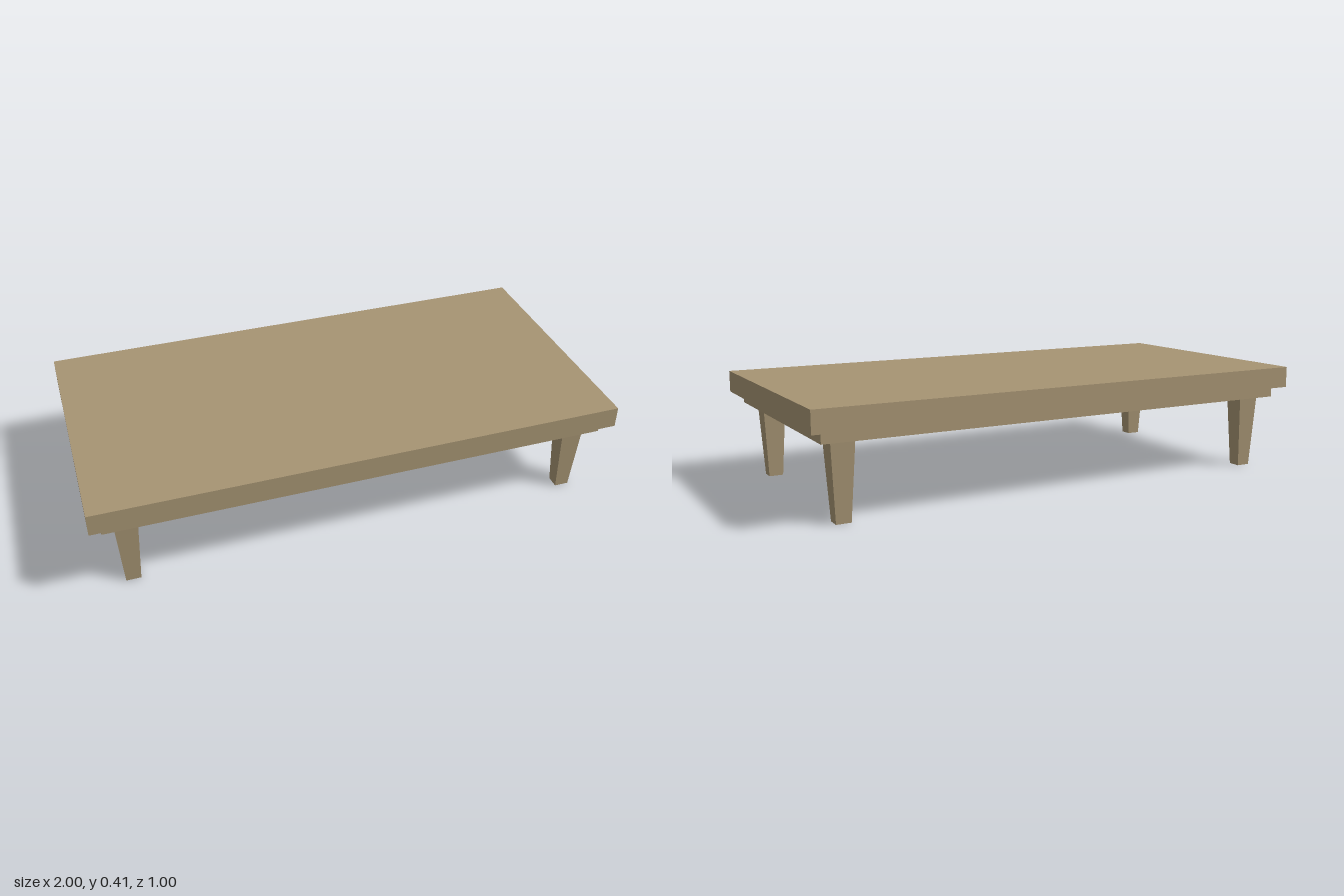
import * as THREE from 'three';

const TOP_Y = 0.41, SLAB_Y = 0.328, APRON_Y = 0.287;

export function createModel() {
  const group = new THREE.Group();
  const wood = new THREE.MeshStandardMaterial({ color: 0xa69473 });
  wood.name = 'lightWood';

  const add = (name, geometry, x, y, z) => {
    const mesh = new THREE.Mesh(geometry, wood);
    mesh.name = name;
    mesh.position.set(x, y, z);
    group.add(mesh);
  };

  // Tabletop slab and the inset panel beneath it
  add('tabletop', new THREE.BoxGeometry(2, TOP_Y - SLAB_Y, 0.995), 0, (TOP_Y + SLAB_Y) / 2, 0);
  add('apron', new THREE.BoxGeometry(1.914, SLAB_Y - APRON_Y, 0.92), 0, (SLAB_Y + APRON_Y) / 2, 0);

  // Leg: a box narrowed towards the floor
  const leg = new THREE.BoxGeometry(0.087, APRON_Y, 0.078);
  const p = leg.attributes.position;
  for (let i = 0; i < p.count; i++) {
    if (p.getY(i) < 0) {
      p.setX(i, p.getX(i) * 0.63);
      p.setZ(i, p.getZ(i) * 0.63);
    }
  }
  leg.computeVertexNormals();

  for (const [side, sx] of [['Left', 1], ['Right', -1]]) {
    for (const [end, sz] of [['front', 1], ['back', -1]]) {
      add(`${end}${side}Leg`, leg, sx * 0.87, APRON_Y / 2, sz * 0.383);
    }
  }
  return group;
}
